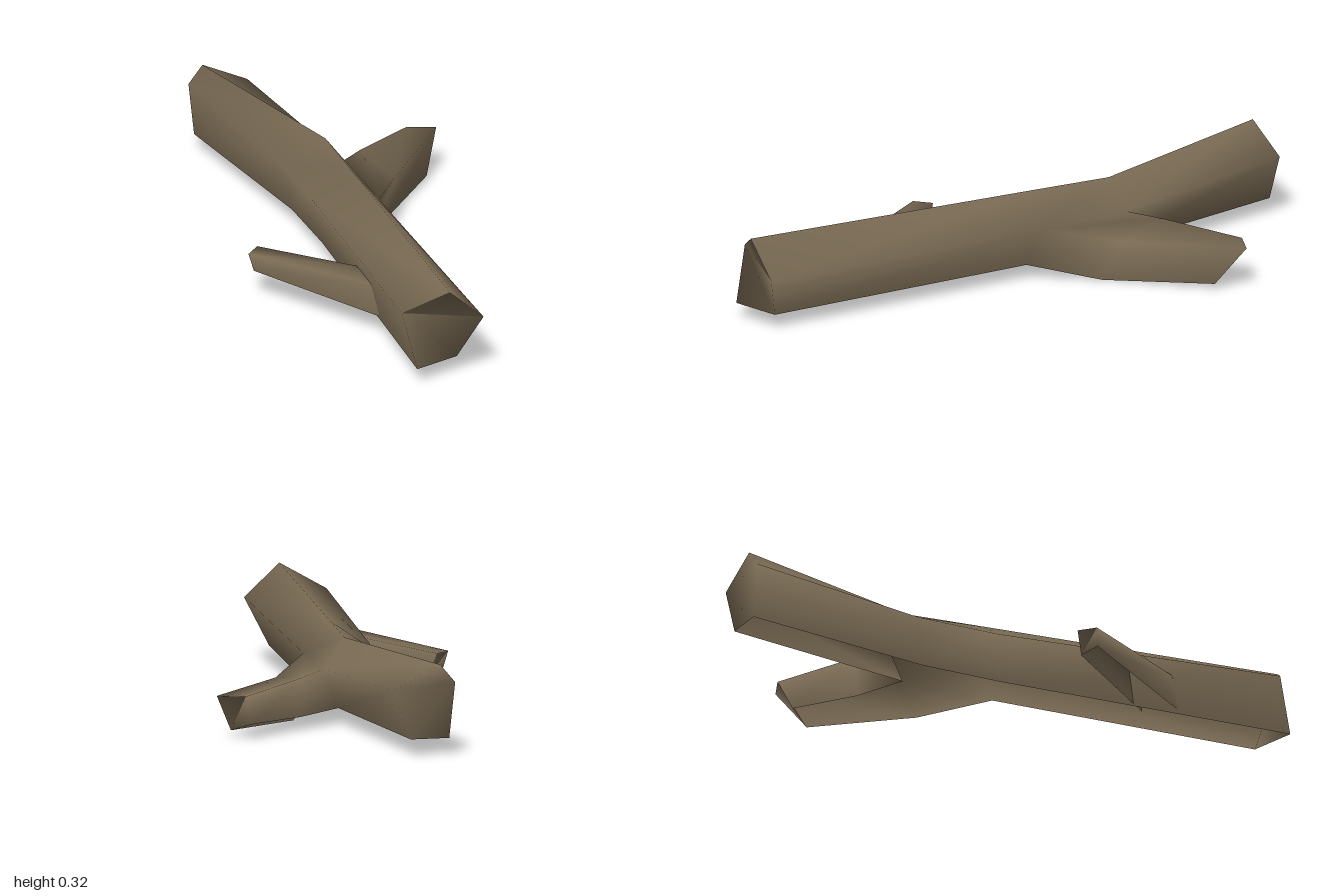
import * as THREE from 'three';
import { mergeGeometries, mergeVertices } from 'three/addons/utils/BufferGeometryUtils.js';

// Skin a list of cross-sections (each clockwise when looking along the limb).
// The side between the last two corners is the open underside.
// caps: which ends are closed; hole: [section, side] left out for a joining limb.
function limb(rings, caps, hole = []) {
  const n = rings[0].length;
  const last = (rings.length - 1) * n;
  const index = [];
  for (let i = 0; i < rings.length - 1; i++) {
    for (let j = 0; j < n; j++) {
      if (j === n - 2 || (i === hole[0] && j === hole[1])) continue;
      const k = (j + 1) % n;
      const a = i * n + j, b = i * n + k, c = a + n, d = b + n;
      index.push(a, b, c, b, d, c);
    }
  }
  for (let j = 1; j < n - 1; j++) {
    if (caps.start) index.push(0, j + 1, j);
    if (caps.end) index.push(last, last + j, last + j + 1);
  }
  const geometry = new THREE.BufferGeometry();
  geometry.setAttribute('position', new THREE.Float32BufferAttribute(rings.flat(2), 3));
  geometry.setIndex(index);
  return geometry;
}

// Weld the limbs together and shade them smoothly across the joints
function barkMesh(name, limbs, material) {
  const geometry = mergeVertices(mergeGeometries(limbs));
  geometry.computeVertexNormals();
  const mesh = new THREE.Mesh(geometry, material);
  mesh.name = name;
  return mesh;
}

export function createModel() {
  const group = new THREE.Group();
  group.name = 'fallenBranch';
  const bark = new THREE.MeshStandardMaterial({ color: 0x7a6b54, side: THREE.DoubleSide });
  bark.name = 'bark brown';

  // Corners of the fork, shared by the trunk and the thick branch
  const nearTop = [0.05, 0.19, -0.02], nearBottom = [0, 0.055, 0];
  const farTop = [0.065, 0.19, -0.35], farBottom = [0.01, 0.055, -0.33];

  // Five-sided trunk, front to back: left, top, right, lower right, lower left
  const trunk = limb([
    [[-0.272, 0.24, 0.93], [-0.13, 0.32, 1], [-0.01, 0.21, 1], [-0.08, 0.055, 0.94], [-0.24, 0.055, 0.985]],
    [[-0.17, 0.21, -0.08], [-0.035, 0.297, -0.05], nearTop, nearBottom, [-0.14, 0.055, -0.05]],
    [[-0.16, 0.21, -0.36], [-0.01, 0.29, -0.33], farTop, farBottom, [-0.13, 0.055, -0.33]],
    [[-0.215, 0.24, -1], [-0.165, 0.3, -1], [-0.005, 0.22, -1], [-0.065, 0.055, -1], [-0.195, 0.055, -1]],
  ], { start: true, end: true }, [1, 2]);

  // Thick side branch growing out of the fork
  const largeBranch = limb([
    [farTop, nearTop, nearBottom, farBottom],
    [[0.16, 0.178, -0.43], [0.2, 0.15, -0.24], [0.132, 0, -0.21], [0.16, 0.045, -0.415]],
    [[0.39, 0.15, -0.59], [0.478, 0.15, -0.55], [0.41, 0.02, -0.47], [0.36, 0.05, -0.55]],
  ], { end: true });
  group.add(barkMesh('trunkAndLargeBranch', [trunk, largeBranch], bark));

  // Thin twig on the other side
  const twig = limb([
    [[-0.2, 0.18, 0.59], [-0.15, 0.18, 0.48], [-0.15, 0.06, 0.48], [-0.2, 0.068, 0.59]],
    [[-0.48, 0.152, 0.13], [-0.43, 0.152, 0.085], [-0.41, 0.075, 0.11], [-0.465, 0.093, 0.14]],
  ], { end: true });
  group.add(barkMesh('smallBranch', [twig], bark));

  return group;
}
